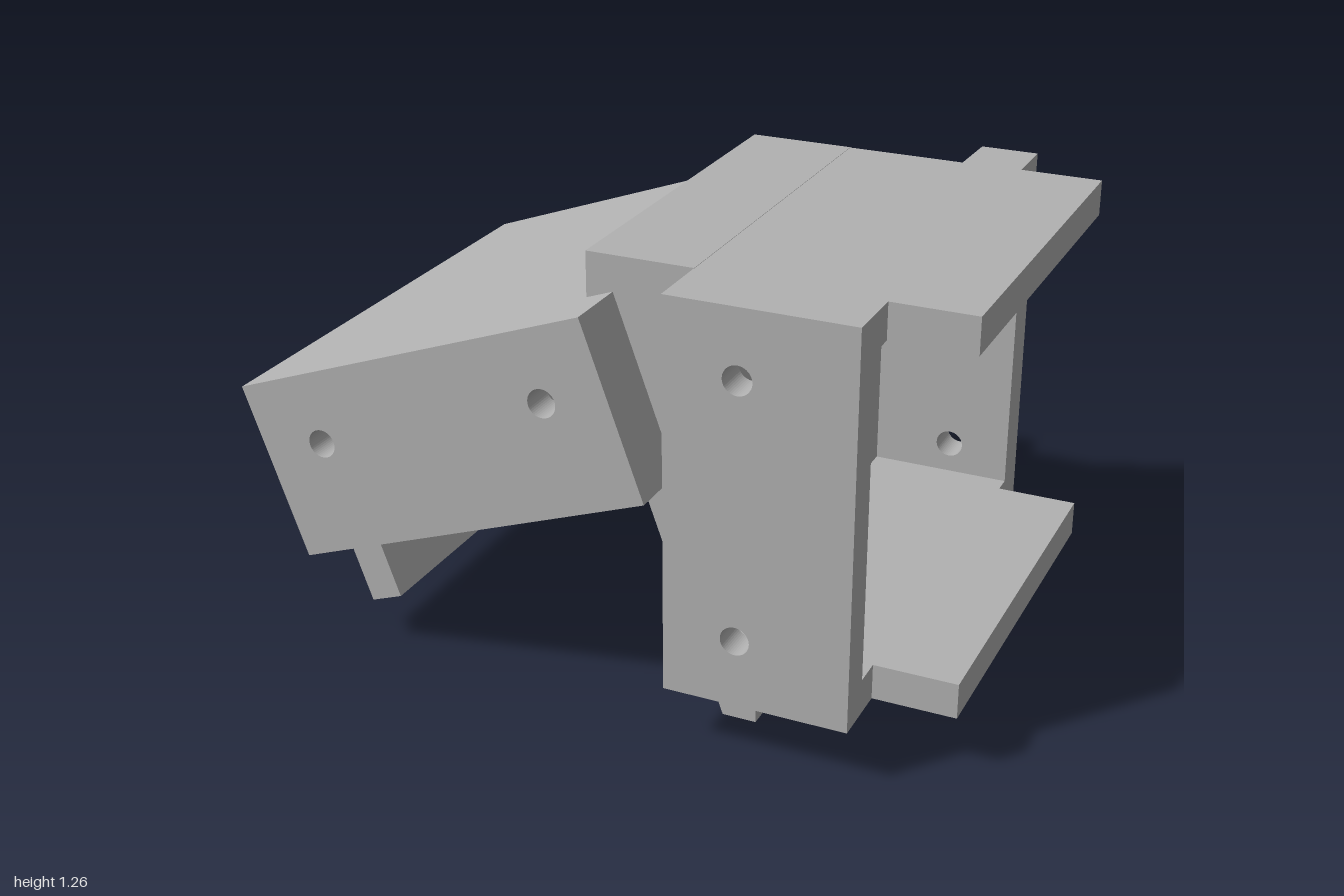
import * as THREE from 'three';

const LEN = 1.1, DEPTH = 0.51, T = 0.1;   // bracket length, depth and wall thickness

export function createModel() {
  const model = new THREE.Group();
  model.name = 'hingedBrackets';
  const grey = new THREE.MeshStandardMaterial({ color: 0xb2b2b2 });
  grey.name = 'plain grey';

  // Polygon (with optional round holes) extruded from z0 to z1
  function slab(parent, name, points, z0, z1, holes = []) {
    const shape = new THREE.Shape(points.map(([x, y]) => new THREE.Vector2(x, y)));
    for (const [x, y] of holes) {
      shape.holes.push(new THREE.Path().absarc(x, y, 0.04, 0, Math.PI * 2, true));
    }
    const geometry = new THREE.ExtrudeGeometry(shape, {
      depth: z1 - z0, bevelEnabled: false, curveSegments: 24,
    });
    geometry.translate(0, 0, z0);
    const mesh = new THREE.Mesh(geometry, grey);
    mesh.name = name;
    parent.add(mesh);
  }

  // Open box: x runs from the closed back to the open mouth, y runs down from 0;
  // c is the size of the corner cut on the back side wall
  function bracket(name, c) {
    const g = new THREE.Group();
    g.name = name;
    const holesAt = (x) => [[x, -0.19], [x, -LEN + 0.19]];

    // Side walls with bolt holes
    slab(g, 'frontSideWall', [[0, 0], [0, -LEN], [DEPTH, -LEN], [DEPTH, 0]], 0.62, 0.72, holesAt(0.2));
    slab(g, 'backSideWall', [[c, 0], [0, -c], [0, -LEN], [DEPTH, -LEN], [DEPTH, 0]],
      -0.73, -0.62, holesAt(0.33));

    // Channel: two end plates joined by the closed back
    slab(g, 'channel', [[0, 0], [0, -LEN], [DEPTH, -LEN], [DEPTH, T - LEN], [T, T - LEN],
      [T, -T], [DEPTH, -T], [DEPTH, 0]], -0.56, 0.62);

    // Narrow strip of the channel where the corner is cut
    const lower = [[0, -c], [0, -LEN], [DEPTH, -LEN], [DEPTH, T - LEN], [T, T - LEN]];
    const upper = [[DEPTH, -T], [DEPTH, 0], [c, 0]];
    if (c > 2 * T) {
      slab(g, 'cutChannelBack', [...lower, [T, T - c]], -0.62, -0.56);
      slab(g, 'cutChannelTop', [...upper, [c - T, -T]], -0.62, -0.56);
    } else {
      slab(g, 'cutChannel', [...lower, [T, -T], ...upper], -0.62, -0.56);
    }

    // Tabs reaching past the mouth
    for (const y of [0, T - LEN]) {
      slab(g, 'tab', [[DEPTH, y], [DEPTH, y - T], [0.74, y - T], [0.74, y]], -0.565, 0.54);
    }
    model.add(g);
    return g;
  }

  const upright = bracket('uprightBracket', 0.345);
  upright.position.set(0.26, 1.264, 0);

  const tilted = bracket('tiltedBracket', 0.03);
  tilted.position.set(0.035, 1.166, 0);
  tilted.rotation.z = THREE.MathUtils.degToRad(-70);

  // Solid web filling the corner between the two brackets
  slab(model, 'upperWeb', [[-0.04, 1.265], [-0.04, 1.138], [0.035, 1.166], [0.208, 0.69],
    [0.261, 0.545], [0.261, 1.265]], -0.56, 0.53);

  // Wedge foot carrying the slope on down to the ground
  slab(model, 'lowerWedge', [[0.189, 0.44], [0.349, 0], [0.445, 0], [0.445, 0.2], [0.3, 0.2],
    [0.3, 0.474], [0.284, 0.474]], -0.56, 0.535);

  return model;
}
